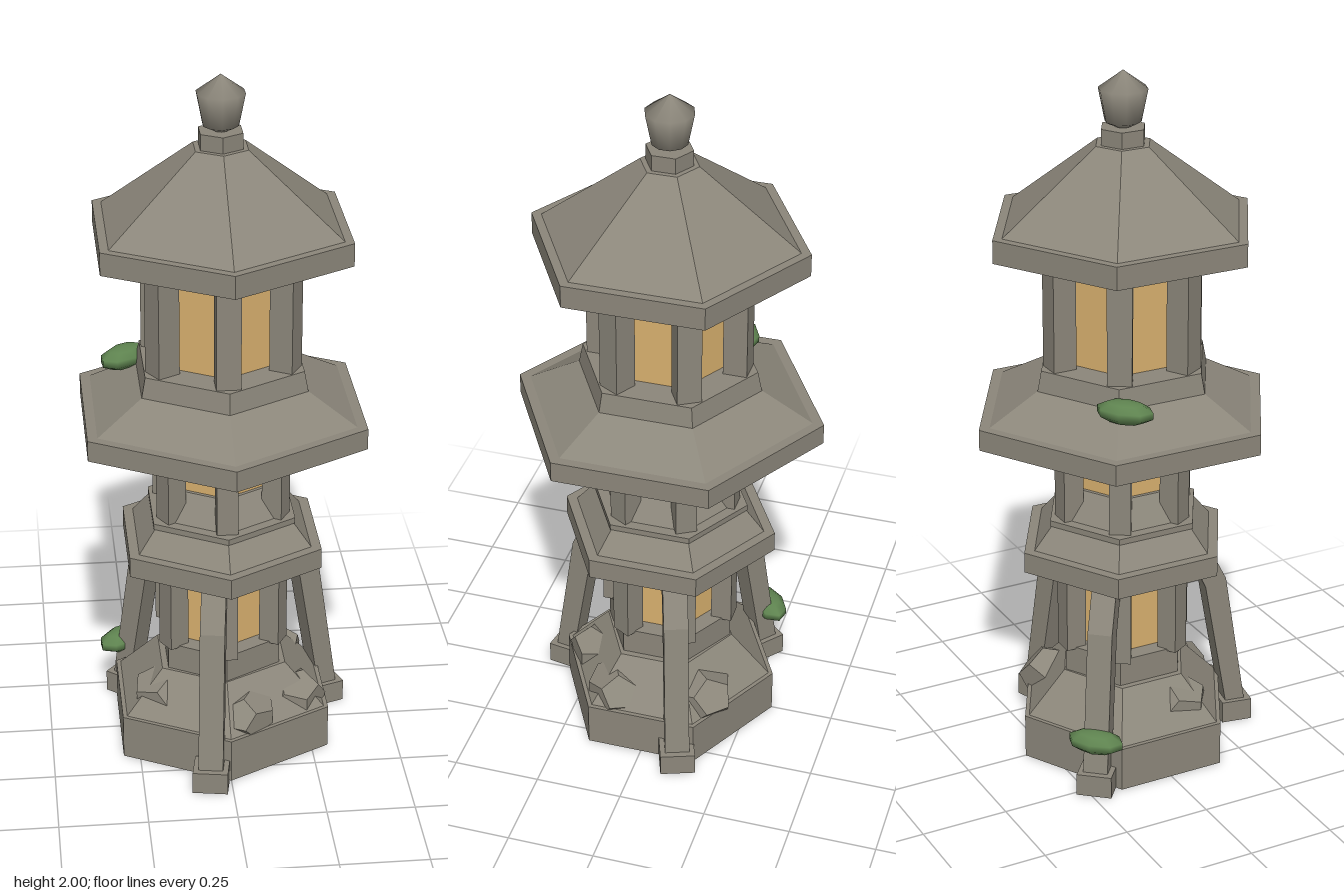
import * as THREE from 'three';

export function createModel() {
  const model = new THREE.Group();
  const material = (name, color) => {
    const m = new THREE.MeshStandardMaterial({ color });
    m.name = name;
    return m;
  };
  const stone = material('weathered stone', 0x8c877b);
  const glow = material('warm paper window', 0xd8b06e);
  const moss = material('moss green', 0x5f8450);

  const add = (name, geometry, mat, parent = model) => {
    const mesh = new THREE.Mesh(geometry, mat);
    mesh.name = name;
    parent.add(mesh);
    return mesh;
  };
  // Faceted normals on an indexed geometry
  const flat = (geometry) => {
    const g = geometry.toNonIndexed();
    g.computeVertexNormals();
    return g;
  };
  // Six-sided block between two heights, with a corner on the z axis
  const hex = (name, y0, y1, r0, r1 = r0, mat = stone) => {
    const g = flat(new THREE.CylinderGeometry(r1, r0, y1 - y0, 6));
    g.translate(0, (y0 + y1) / 2, 0);
    return add(name, g, mat);
  };

  // Rough base
  hex('baseBlock', 0, 0.13, 0.318).scale.x = 1.08;
  hex('baseSlope', 0.13, 0.25, 0.305, 0.19).scale.x = 1.08;
  const rocks = [
    [0.2, 0.14, 0.1, 0.1, 0.08, 0.09, 0.4],
    [0.06, 0.15, 0.2, 0.1, 0.07, 0.08, 1.1],
    [-0.17, 0.16, 0.08, 0.1, 0.08, 0.1, 2.0],
    [0.16, 0.15, -0.14, 0.11, 0.08, 0.1, 0.8],
  ];
  for (const [x, y, z, sx, sy, sz, turn] of rocks) {
    const rock = add('baseRock', new THREE.DodecahedronGeometry(1), stone);
    rock.position.set(x, y, z);
    rock.scale.set(sx, sy, sz);
    rock.rotation.y = turn;
  }
  hex('plinth', 0.24, 0.33, 0.185);

  // Lantern storeys: glowing core ringed by six posts
  const storey = (name, y0, y1, coreRadius, postRadius, width) => {
    const group = new THREE.Group();
    group.name = name;
    model.add(group);
    group.add(hex('windowCore', y0, y1, coreRadius, coreRadius, glow));
    for (let i = 0; i < 6; i++) {
      const a = (i * Math.PI) / 3;
      const post = add('post', new THREE.BoxGeometry(width, y1 - y0, width), stone, group);
      post.position.set(Math.sin(a) * postRadius, (y0 + y1) / 2, Math.cos(a) * postRadius);
      post.rotation.y = a;
    }
  };
  storey('lowerStorey', 0.325, 0.6, 0.128, 0.165, 0.06);
  storey('middleStorey', 0.72, 1.0, 0.128, 0.17, 0.06);
  storey('upperStorey', 1.18, 1.53, 0.155, 0.195, 0.068);

  // Lower roof and sill
  hex('lowerEave', 0.59, 0.65, 0.312);
  hex('lowerRoof', 0.65, 0.715, 0.28, 0.225);
  hex('lowerLedge', 0.715, 0.732, 0.23);
  hex('middleSill', 0.732, 0.81, 0.195, 0.14);

  // Middle roof
  hex('middleEave', 0.99, 1.05, 0.442);
  hex('middleRoof', 1.05, 1.13, 0.41, 0.265);
  hex('middleLedge', 1.125, 1.188, 0.265, 0.252);

  // Top roof and finial
  hex('topEave', 1.52, 1.585, 0.39);
  hex('topRoof', 1.585, 1.8, 0.362, 0.082);
  hex('finialNeck', 1.79, 1.845, 0.066);
  const finialProfile = [[0, 1.835], [0.05, 1.86], [0.068, 1.95], [0, 2]]
    .map(([x, y]) => new THREE.Vector2(x, y));
  add('finial', new THREE.LatheGeometry(finialProfile, 10), stone);

  // Three bent buttress legs with foot blocks
  const legShape = new THREE.Shape([
    [0.318, 0], [0.375, 0], [0.302, 0.47], [0.238, 0.6], [0.17, 0.6], [0.24, 0.45],
  ].map(([x, y]) => new THREE.Vector2(x, y)));
  const legGeometry = new THREE.ExtrudeGeometry(legShape, { depth: 0.07, bevelEnabled: false });
  legGeometry.translate(0, 0, -0.035);
  for (const degrees of [100, -20, 220]) {
    const leg = new THREE.Group();
    leg.name = 'buttressLeg';
    leg.rotation.y = -THREE.MathUtils.degToRad(degrees);
    add('legBeam', legGeometry, stone, leg);
    add('legFoot', new THREE.BoxGeometry(0.09, 0.065, 0.1), stone, leg).position.set(0.338, 0.0325, 0);
    model.add(leg);
  }

  // Moss clumps
  const clump = (x, y, z, turn) => {
    const g = new THREE.SphereGeometry(1, 8, 5);
    const m = add('mossClump', g, moss);
    m.position.set(x, y, z);
    m.scale.set(0.085, 0.032, 0.05);
    m.rotation.y = turn;
  };
  clump(-0.26, 1.14, -0.13, 0.7);
  clump(-0.275, 0.165, -0.23, 0.7);

  return model;
}
